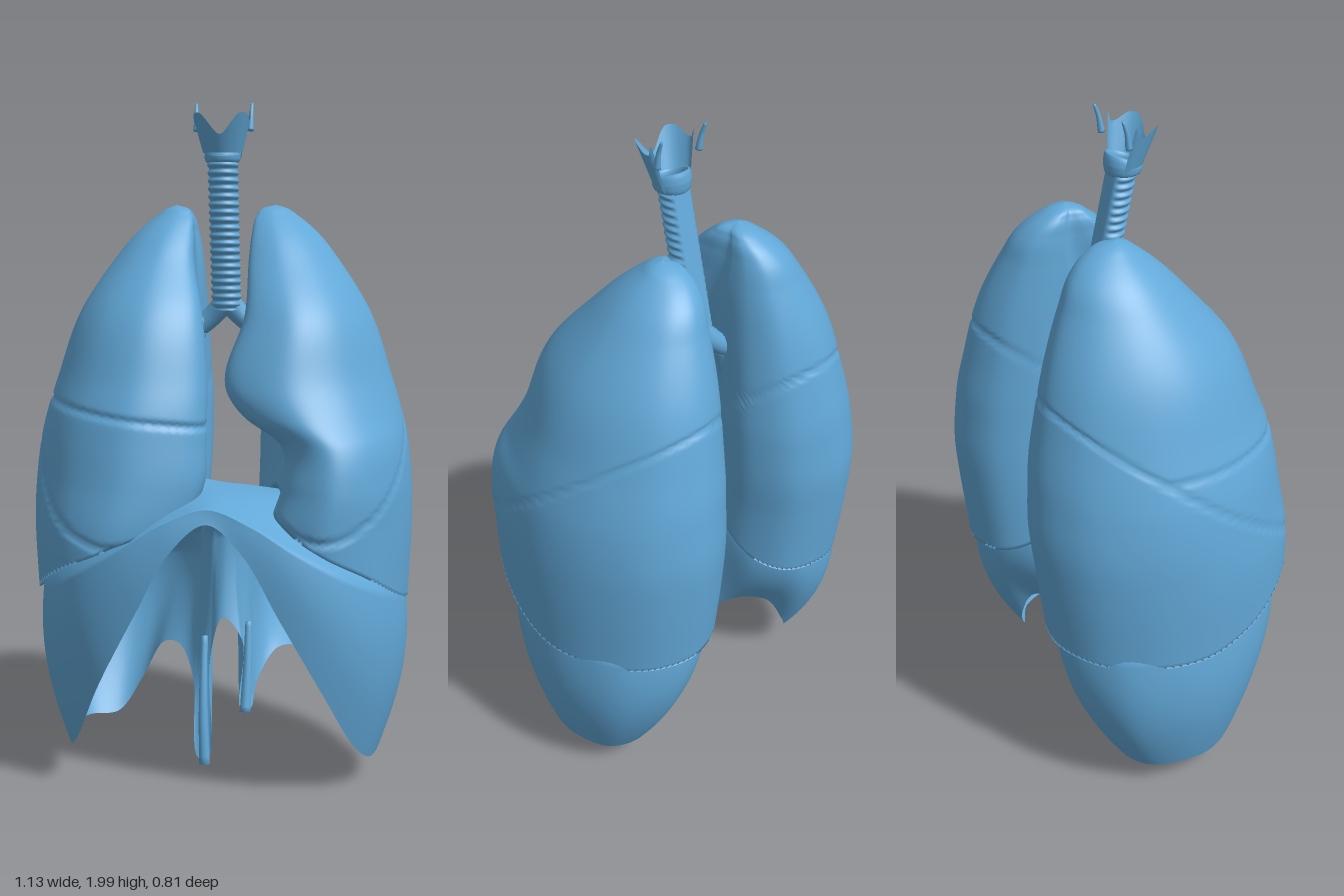
import * as THREE from 'three';

const mat = new THREE.MeshStandardMaterial({ color: 0x62a8d8, side: THREE.DoubleSide });
const V = (x, y, z) => new THREE.Vector3(x, y, z);
const TAU = Math.PI * 2;
const { lerp, smoothstep, clamp } = THREE.MathUtils;
const bell = (d, width) => Math.exp(-((d / width) ** 2));

// Surface from a rule f(u, v) -> Vector3; u may wrap round
function surface(name, nu, nv, wrap, f) {
  const pos = [], idx = [], cols = wrap ? nu : nu + 1;
  for (let j = 0; j <= nv; j++)
    for (let i = 0; i < cols; i++) pos.push(...f(i / nu, j / nv).toArray());
  for (let j = 0; j < nv; j++)
    for (let i = 0; i < nu; i++) {
      const a = j * cols + i, b = j * cols + (i + 1) % cols;
      idx.push(a, a + cols, b, b, a + cols, b + cols);
    }
  const g = new THREE.BufferGeometry();
  g.setAttribute('position', new THREE.Float32BufferAttribute(pos, 3));
  g.setIndex(idx);
  g.computeVertexNormals();
  const m = new THREE.Mesh(g, mat);
  m.name = name;
  return m;
}

// Tapering round tube along a smooth path, closed at both ends
function tube(name, pts, r0, r1) {
  const path = new THREE.CatmullRomCurve3(pts), n = 16;
  const frames = path.computeFrenetFrames(n);
  return surface(name, 14, n + 2, true, (u, v) => {
    const k = Math.round(v * (n + 2)), i = clamp(k - 1, 0, n);
    const r = k === 0 || k === n + 2 ? 0 : lerp(r0, r1, i / n);
    return path.getPointAt(i / n)
      .addScaledVector(frames.normals[i], r * Math.cos(u * TAU))
      .addScaledVector(frames.binormals[i], r * Math.sin(u * TAU));
  });
}

// Horizontal outline of a lung: x = medial 0 to lateral 1, z = back -1 to front 1, y = lower border
const section = new THREE.CatmullRomCurve3([
  V(.06, .88, 0), V(0, .88, .4), V(.01, .85, .76), V(.16, .81, .92), V(.4, .755, 1), V(.67, .69, .85),
  V(.89, .61, .5), V(1, .56, .05), V(.94, .555, -.45), V(.74, .56, -.84), V(.46, .57, -1),
  V(.19, .58, -.89), V(.05, .63, -.6), V(.03, .76, -.25)], true);

// Levels from base to apex: medial x in front, medial x behind, lateral x, front z, back z
const heights = [.55, .8, .93, 1.05, 1.12, 1.2, 1.4, 1.55, 1.63, 1.68, 1.702, 1.71];
const leftLevels = [
  .22, .085, .553, .37, -.365, .165, .075, .562, .4, -.392, .2, .075, .558, .395, -.4,
  .19, .075, .543, .37, -.392, .09, .075, .525, .35, -.385, .035, .075, .5, .32, -.37,
  .08, .075, .43, .235, -.325, .08, .08, .335, .11, -.265, .085, .085, .27, .035, -.225,
  .095, .095, .21, -.025, -.17, .115, .115, .175, -.06, -.125, .145, .145, .146, -.09, -.091];
const rightLevels = [
  .2, .06, .555, .37, -.365, .08, .05, .565, .4, -.395, .03, .04, .56, .385, -.405,
  .025, .035, .543, .365, -.397, .025, .035, .525, .35, -.39, .025, .04, .5, .32, -.375,
  .045, .055, .43, .235, -.325, .08, .07, .335, .11, -.265, .09, .085, .27, .035, -.225,
  .1, .1, .21, -.025, -.17, .12, .12, .175, -.06, -.125, .15, .15, .151, -.09, -.091];

function lung(name, side, levels, { hollow, fissureY, domeY, middleLobe }) {
  const table = new THREE.CubicInterpolant(new Float32Array(heights), new Float32Array(levels), 5);
  return surface(name, 120, 130, true, (u, v) => {
    const q = section.getPoint(u);
    const w = Math.min(v / .9, 1), under = Math.max(0, (v - .9) / .1);
    const y = 1.71 - (1.71 - q.y) * w ** 1.5;
    const [xf, xb, xo, zf, zb] = table.evaluate(y);
    const xi = lerp(xb, xf, smoothstep(q.z, -.1, .45));
    const cx = (xb + xo) / 2, cz = (zf + zb) / 2;
    let x = xi + (xo - xi) * q.x, z = cz + (zf - zb) / 2 * q.z;
    // hollow where the airways enter
    if (q.x < .4) x += hollow * bell(z + .015, .11) * bell(y - 1.1, .26) * (1 - q.x / .4);
    // fissures between the lobes
    const oblique = y - (fissureY - .74 * z);
    let cut = bell(oblique, .007);
    if (middleLobe && oblique > 0) cut = Math.max(cut, bell(y - 1.1 - .12 * (x - .1), .007));
    // hollow underside
    const s = (1 - .03 * cut) * (1 - under);
    return V(side * (cx + (x - cx) * s), y + (domeY - y) * Math.sin(under * Math.PI / 2), cz + (z - cz) * s);
  });
}

// Diaphragm: shoulder line and free lower edge, from front middle round to back middle
function diaphragm() {
  const shoulder = [[0, .88, .38], [.12, .84, .395], [.25, .76, .385], [.38, .68, .32], [.48, .62, .2],
    [.54, .59, .05], [.54, .59, -.1], [.48, .59, -.25], [.35, .6, -.335], [.25, .6, -.335], [.17, .61, -.3],
    [.1, .62, -.22], [.075, .66, -.11], [.06, .7, -.07], [.04, .71, -.05], [.025, .72, -.045], [0, .72, -.04]];
  const edge = [[0, .84, .39], [.1, .76, .4], [.2, .58, .385], [.32, .35, .325], [.41, .15, .2],
    [.455, .09, .1], [.48, .105, -.02], [.44, .1, -.13], [.36, .1, -.175], [.29, .2, -.215], [.22, .325, -.2],
    [.155, .34, -.14], [.1, .26, -.05]];
  // strands at the back reach lower on the right
  const rightEnd = [[.077, .03, .02], [.042, .03, .02], [.04, .34, .01], [0, .47, 0]];
  const leftEnd = [[.085, .19, .015], [.055, .19, .015], [.06, .4, .005]];
  const mirror = a => a.map(([x, y, z]) => [-x, y, z]).reverse();
  const loop = a => new THREE.CatmullRomCurve3(a.map(p => V(...p)), true);
  const top = loop([...shoulder, ...mirror(shoulder.slice(1, -1))]);
  const low = loop([...edge, ...leftEnd, ...mirror([...edge.slice(1), ...rightEnd])]);
  return surface('diaphragm', 240, 40, true, (u, v) => {
    const W = top.getPoint(u), E = low.getPoint(u);
    if (v > .45) {
      // wall that stays full and tucks in near its edge
      const t = (v - .45) / .55, tuck = t ** 1.9;
      const bulge = 1 + .035 * Math.sin(t * Math.PI) * Math.min(1, (W.y - E.y) / .4);
      return V(lerp(W.x, E.x, tuck) * bulge, lerp(W.y, E.y, t), lerp(W.z, E.z, tuck) * bulge);
    }
    const t = 1 - v / .45;
    const C = V(W.x * .45, .91 - .07 * W.x, .1);
    const p = W.clone().lerp(C, t);
    p.y = W.y + (C.y - W.y) * Math.sin(t * Math.PI / 2);
    return p;
  });
}

// Windpipe with cartilage rings, flattened at the back
function trachea() {
  return surface('trachea', 28, 160, true, (u, v) => {
    const a = u * TAU, y = 1.85 - .45 * v;
    const r = .043 + (Math.sin(a) > -.5 ? .003 * Math.sin(v * 20 * TAU) : 0);
    return V(r * Math.cos(a), y, .01 - .1 * v + Math.max(r * Math.sin(a), -.03));
  });
}

// Voice box: shield open at the back with a front notch and upper horns, above a ring that is tall behind
function larynx() {
  const g = new THREE.Group();
  g.name = 'larynx';
  g.add(surface('thyroidCartilage', 60, 12, false, (u, v) => {
    const k = (u - .5) * 2, a = k * 2.15, m = Math.abs(k);
    const upper = 1.905 + .06 * smoothstep(m, 0, .4) - .02 * smoothstep(m, .5, .8) + .03 * smoothstep(m, .88, 1);
    const lower = 1.855 - .02 * smoothstep(m, .8, 1);
    const y = lerp(lower, upper, v), h = (y - 1.84) / .13;
    return V((.05 + .033 * h) * Math.sin(a) * (1 + .12 * smoothstep(m, .6, 1)), y,
      .015 + .03 * h + (.044 + .022 * h) * Math.cos(a));
  }));
  g.add(surface('cricoidRing', 32, 12, true, (u, v) => {
    const a = u * TAU, c = v * TAU, back = (1 - Math.cos(a)) / 2;
    const r = .045 + .008 * Math.cos(c);
    return V(r * Math.sin(a), 1.845 + .015 * back + (.016 + .016 * back) * Math.sin(c), .013 + r * Math.cos(a));
  }));
  for (const s of [-1, 1])
    g.add(tube('upperHorn', [V(s * .078, 1.92, -.01), V(s * .08, 1.965, -.018), V(s * .081, 1.998, -.03)], .01, .004));
  return g;
}

export function createModel() {
  const model = new THREE.Group();
  model.add(
    lung('leftLung', 1, leftLevels, { hollow: .08, fissureY: 1.09, domeY: .88, middleLobe: false }),
    lung('rightLung', -1, rightLevels, { hollow: .09, fissureY: 1.06, domeY: .93, middleLobe: true }),
    diaphragm(), trachea(), larynx());
  // Airways and vessels entering each lung
  for (const s of [-1, 1]) {
    model.add(
      tube('mainBronchus', [V(0, 1.43, -.085), V(s * .05, 1.375, -.1), V(s * .17, 1.28, -.1)], .034, .025),
      tube('upperBranch', [V(s * .06, 1.36, -.1), V(s * .11, 1.37, -.07), V(s * .19, 1.4, -.04)], .022, .014),
      tube('lowerBranch', [V(s * .08, 1.34, -.1), V(s * .12, 1.24, -.08), V(s * .18, 1.12, -.06)], .022, .014),
      tube('lungVessel', [V(s * .1, 1.22, -.01), V(s * .15, 1.2, -.02), V(s * .22, 1.17, -.03)], .026, .018));
  }
  // Long muscle strands hanging from the back of the diaphragm
  model.add(
    tube('rightCrus', [V(-.062, .4, -.04), V(-.062, .27, -.01), V(-.06, .15, .01), V(-.055, .01, .02)], .01, .017),
    tube('leftCrus', [V(.074, .45, -.04), V(.074, .33, -.015), V(.07, .18, .015)], .01, .017));
  return model;
}
